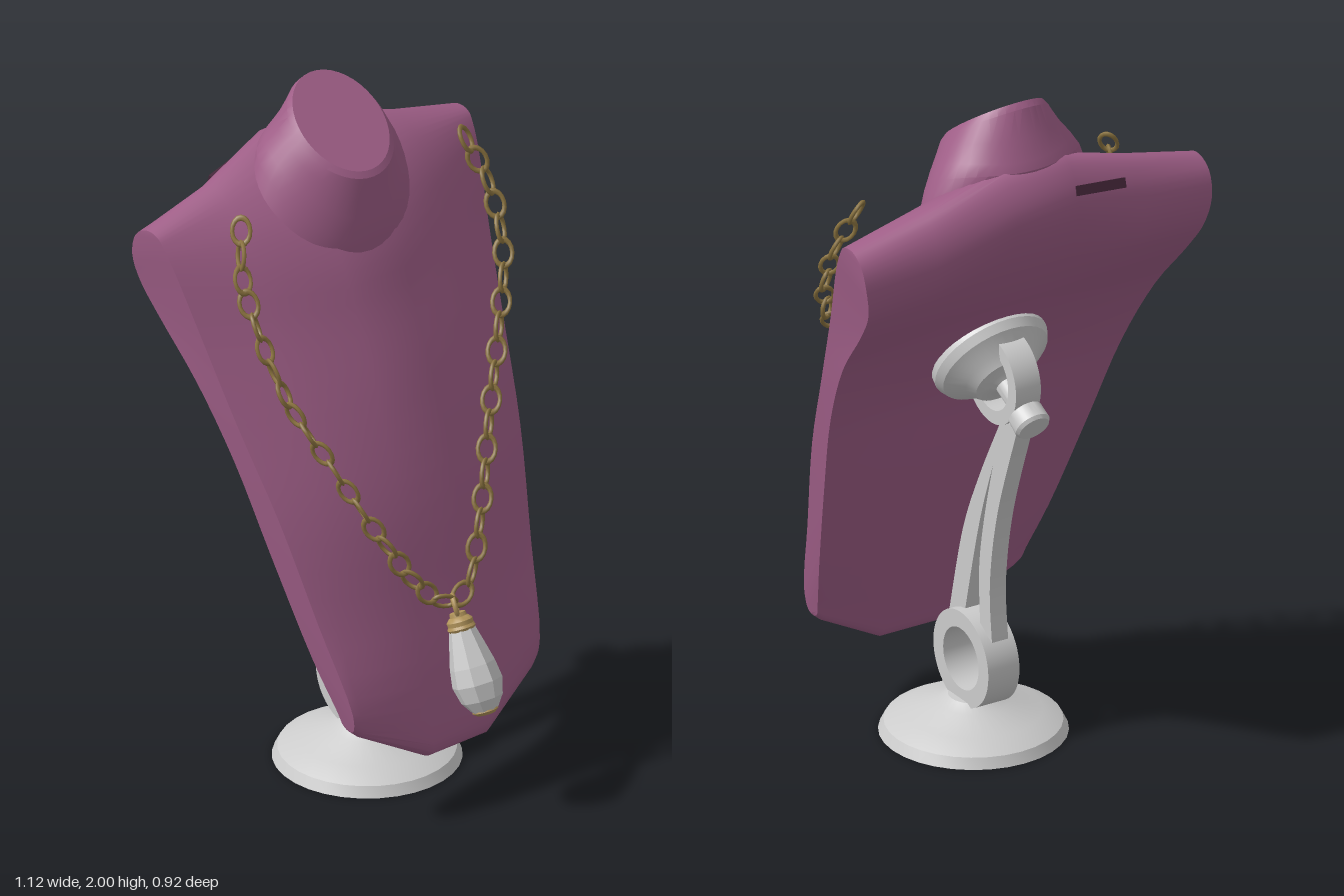
import * as THREE from 'three';
import { toCreasedNormals } from 'three/addons/utils/BufferGeometryUtils.js';

const material = (color) => new THREE.MeshStandardMaterial({ color });
const grey = material(0xcccccc);
const plum = material(0xa05f88);
const darkPlum = material(0x4a2a3e);
const bronze = material(0x8c7440);
const brass = material(0xb0935a);
const facetedGrey = grey.clone();
facetedGrey.flatShading = true;

function add(parent, name, geometry, mat, position = [0, 0, 0], rotation = [0, 0, 0]) {
  const mesh = new THREE.Mesh(geometry, mat);
  mesh.name = name;
  mesh.position.set(...position);
  mesh.rotation.set(...rotation);
  parent.add(mesh);
  return mesh;
}

function fromIndex(positions, index, crease) {
  const g = new THREE.BufferGeometry();
  g.setAttribute('position', new THREE.Float32BufferAttribute(positions, 3));
  g.setIndex(index);
  return toCreasedNormals(g, crease);
}

// Centre profile [z, y, blend towards the side at the inner facet], up the front and down the back
const CENTRE = [[.27, .17, .85], [.312, .195, .85], [.295, .33, .8], [.24, .6, .68], [.18, .9, .56], [.09, 1.18, .5],
  [0, 1.4, .48], [-.065, 1.56, .48], [-.15, 1.69, .5], [-.27, 1.79, .52], [-.37, 1.837, .58], [-.432, 1.79, .7],
  [-.457, 1.7, .8], [-.43, 1.6, .78], [-.36, 1.47, .72], [-.225, 1.29, .68], [-.08, 1.06, .7], [.005, .8, .75],
  [.115, .5, .8], [.205, .25, .85], [.235, .178, .85]];
// Side profile [x, z, y]
const SIDE = [[.325, .225, .302], [.328, .246, .312], [.337, .253, .37], [.382, .165, .62], [.434, .06, .92],
  [.479, -.06, 1.18], [.516, -.165, 1.42], [.546, -.24, 1.6], [.556, -.275, 1.665], [.56, -.3, 1.695],
  [.56, -.345, 1.7], [.56, -.39, 1.67], [.555, -.41, 1.6], [.54, -.395, 1.52], [.525, -.335, 1.43],
  [.502, -.205, 1.27], [.468, -.088, 1.06], [.425, .012, .8], [.37, .125, .5], [.335, .188, .35], [.328, .203, .314]];

function bustGeometry() {
  const loop = (pts) => new THREE.CatmullRomCurve3(pts, true);
  const centre = loop(CENTRE.map(([z, y, m]) => new THREE.Vector3(m, y, z)));
  const side = loop(SIDE.map(([x, z, y]) => new THREE.Vector3(x, y, z)));
  const N = 84, last = 5, pos = [], idx = [];
  // Five facets across: flat middle, two slanted panels, two outer panels
  for (let i = 0; i <= last; i++)
    for (let k = 0; k < N; k++) {
      const c = centre.getPoint(k / N), s = side.getPoint(k / N);
      const columns = [[s.x, 1], [Math.min(.33, s.x * .93), c.x], [.1, 0]];
      const [x, f] = columns[Math.min(i, last - i)];
      const p = c.clone().lerp(s, f);
      pos.push(i < 3 ? -x : x, p.y, p.z);
    }
  const at = (i, k) => i * N + (k + N) % N;
  const quad = (a, b, c, d) => idx.push(a, b, c, a, c, d);
  for (let i = 0; i < last; i++)
    for (let k = 0; k < N; k++) quad(at(i, k), at(i + 1, k), at(i + 1, k + 1), at(i, k + 1));
  // Flat end panels bridge the front and back halves of the loop
  for (let k = -2; k < 40; k++) {
    quad(at(last, k), at(last, 80 - k), at(last, 79 - k), at(last, k + 1));
    quad(at(0, k), at(0, k + 1), at(0, 79 - k), at(0, 80 - k));
  }
  return fromIndex(pos, idx, .6);
}

// Flared neck: each ring is [half width, side y, front z, front y, back z, back y]
function neckGeometry() {
  const rings = [[.245, 1.72, -.068, 1.53, -.4, 1.79], [.225, 1.775, -.056, 1.59, -.405, 1.83],
    [.2, 1.82, -.054, 1.66, -.395, 1.855], [.17, 1.86, -.055, 1.73, -.365, 1.91], [.15, 1.885, -.055, 1.785, -.335, 1.985],
    [.136, 1.9015, -.065, 1.803, -.32, 2], [0, 1.9015, -.1925, 1.9015, -.1925, 1.9015]];
  const N = 40, pos = [], idx = [];
  for (const [w, ys, zf, yf, zb, yb] of rings)
    for (let i = 0; i < N; i++) {
      const a = i / N * Math.PI * 2, c = Math.cos(a);
      const y = ys + (yf - yb) / 2 * c + ((yf + yb) / 2 - ys) * c * c;
      pos.push(.008 + w * Math.sin(a), y, (zf + zb) / 2 + (zf - zb) / 2 * c);
    }
  for (let k = 0; k < rings.length - 1; k++)
    for (let i = 0; i < N; i++) {
      const j = (i + 1) % N, a = k * N, b = a + N;
      idx.push(a + i, a + j, b + j);
      if (k < rings.length - 2) idx.push(a + i, b + j, b + i);
    }
  return fromIndex(pos, idx, .4);
}

const lathe = (pts, sides = 32, crease = .5) =>
  toCreasedNormals(new THREE.LatheGeometry(pts.map((p) => new THREE.Vector2(...p)), sides), crease);

// Extrudes a (z, y) shape across x, centred on x = 0
function plate(shape, width) {
  const g = new THREE.ExtrudeGeometry(shape, { depth: width, bevelEnabled: false, curveSegments: 24 });
  return toCreasedNormals(g.rotateY(-Math.PI / 2).translate(width / 2, 0, 0), .5);
}

function ringPlate(z, y, outer, inner, width) {
  const shape = new THREE.Shape().absarc(z, y, outer, 0, Math.PI * 2);
  shape.holes.push(new THREE.Path().absarc(z, y, inner, 0, Math.PI * 2, true));
  return plate(shape, width);
}

const vec2 = (pts) => pts.map((p) => new THREE.Vector2(...p));

function buildStand() {
  const stand = new THREE.Group();
  stand.name = 'stand';
  add(stand, 'base', lathe([[0, .085], [.1, .07], [.18, .042], [.225, .015], [.235, 0], [.26, 0], [.245, .03],
    [.19, .06], [.1, .088], [.07, .108], [0, .11]]), grey, [0, 0, -.075]);
  add(stand, 'lowerRing', ringPlate(-.09, .23, .14, .09, .1), grey);

  // Forked arm: two curved strips meeting at the top
  const arm = new THREE.Shape().moveTo(.01, .32);
  arm.splineThru(vec2([[-.06, .6], [-.145, .8], [-.26, 1.02]]));
  arm.lineTo(-.34, 1.02);
  arm.splineThru(vec2([[-.24, .73], [-.2, .5], [-.21, .32]]));
  arm.lineTo(-.15, .35);
  arm.splineThru(vec2([[-.145, .52], [-.17, .68], [-.215, .86]]));
  arm.splineThru(vec2([[-.165, .72], [-.125, .58], [-.07, .35]]));
  add(stand, 'arm', plate(arm, .052), grey);
  add(stand, 'upperRing', ringPlate(-.225, 1.13, .13, .09, .08), grey);

  // Mounting cup, pivot rod and knob share one axis
  add(stand, 'mount', lathe([[0, -.03], [.17, -.03], [.172, 0], [.16, .025], [.11, .06], [.09, .085], [.05, .09],
    [.035, .1], [.03, .2], [.05, .2], [.052, .245], [.045, .255], [0, .255]]), grey,
  [0, 1.165, -.165], [Math.atan2(-.86, -.51), 0, 0]);
  return stand;
}

function buildNecklace() {
  const necklace = new THREE.Group();
  necklace.name = 'necklace';
  // Chain path down the right side and up the left
  const path = new THREE.CatmullRomCurve3([[-.38, 1.71, -.16], [-.415, 1.6, -.115], [-.42, 1.47, -.05],
    [-.385, 1.26, .045], [-.31, 1.08, .13], [-.2, .84, .225], [-.09, .67, .268], [0, .615, .282], [.06, .645, .275],
    [.14, .82, .235], [.25, 1.05, .145], [.355, 1.23, .06], [.45, 1.42, -.03], [.465, 1.58, -.105],
    [.43, 1.71, -.16]].map((p) => new THREE.Vector3(...p)));
  const link = new THREE.TorusGeometry(.025, .006, 6, 16).scale(1, 1.45, 1);
  const count = Math.round(path.getLength() / .068);
  const up = new THREE.Vector3(0, 1, 0), twist = new THREE.Quaternion();
  for (let i = 0; i <= count; i++) {
    const mesh = add(necklace, 'chainLink', link, bronze);
    mesh.position.copy(path.getPointAt(i / count));
    mesh.quaternion.setFromUnitVectors(up, path.getTangentAt(i / count));
    mesh.quaternion.multiply(twist.setFromAxisAngle(up, i % 2 ? .5 : -.5));
  }

  // Faceted drop hanging forward from a jump ring
  const pendant = new THREE.Group();
  pendant.name = 'pendant';
  pendant.position.set(-.003, .575, .308);
  pendant.rotation.x = -.43;
  add(pendant, 'drop', new THREE.LatheGeometry(vec2([[0, -.268], [.036, -.265], [.059, -.232], [.071, -.185],
    [.064, -.135], [.05, -.08], [.034, -.02], [0, -.015]]), 8), facetedGrey);
  add(pendant, 'cap', lathe([[.036, -.035], [.04, -.028], [.036, -.02], [.037, -.008], [.03, 0], [.024, .004],
    [.022, .015], [0, .018]], 20), brass);
  add(pendant, 'tip', lathe([[0, -.276], [.026, -.275], [.037, -.266], [.034, -.255]], 16), brass);
  add(pendant, 'jumpRing', new THREE.TorusGeometry(.03, .007, 8, 20), brass, [0, .035, 0], [0, .9, 0]);
  necklace.add(pendant);
  return necklace;
}

export function createModel() {
  const model = new THREE.Group();
  model.name = 'necklaceDisplay';
  add(model, 'bust', bustGeometry(), plum);
  add(model, 'neck', neckGeometry(), plum);
  // Narrow slot behind one shoulder
  add(model, 'backSlot', new THREE.BoxGeometry(.18, .028, .02), darkPlum, [-.18, 1.738, -.428], [.4, .2, .1]);
  model.add(buildStand(), buildNecklace());
  return model;
}
